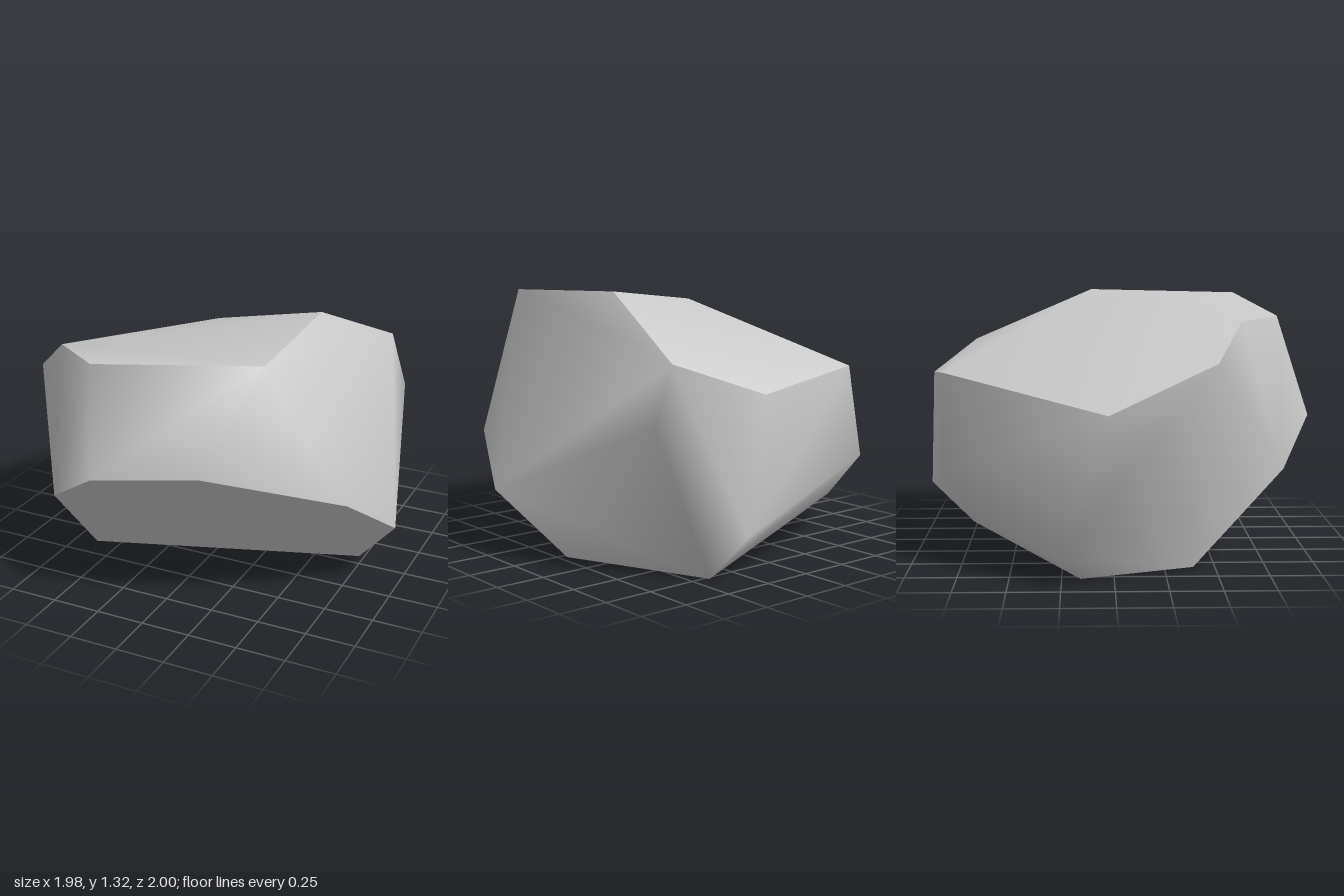
import * as THREE from 'three';
import { ConvexGeometry } from 'three/addons/geometries/ConvexGeometry.js';
import { mergeVertices } from 'three/addons/utils/BufferGeometryUtils.js';

// Corners of the boulder, ring by ring
const TOP_RIM = [
  [-0.99, 0.81, -0.03], [-0.46, 0.95, -0.83], [0.24, 0.88, -0.96], [0.63, 1.03, -0.76], [0.46, 1.32, -0.1],
  [0.5, 1.3, 0.7], [-0.34, 1.22, 0.82], [-0.63, 1.21, 0.61], [-0.84, 1.03, 0.48],
];
const MIDDLE = [
  [-0.94, 0.13, -0.26], [-0.57, 0.48, -0.82], [0.38, 0.24, -1], [0.72, 0.75, -0.75],
  [0.99, 0.35, 0.18], [0.85, 0.59, 0.51], [0.27, 0.78, 0.91], [-0.26, 0.71, 1], [-0.58, 0.49, 0.83],
];
const BASE = [[-0.62, 0.01, 0.39], [0.73, 0.01, -0.06], [0.41, 0, -0.77], [-0.82, 0.01, -0.16]];

// Direction of the undercut at the front
const CUT = new THREE.Vector3(0.22, -0.71, 0.67).normalize();

function partOf(normal) {
  if (normal.y > 0.75) return 'topFace';
  if (normal.y < -0.92) return 'baseFace';
  if (normal.dot(CUT) > 0.95) return 'frontUndercut';
  return 'sideWalls';
}

export function createModel() {
  const group = new THREE.Group();
  group.name = 'boulder';
  const stone = new THREE.MeshStandardMaterial({ color: 0xcccccc });
  stone.name = 'pale grey stone';

  // Sort the hull's triangles into the cut faces and the rounded walls
  const points = [...TOP_RIM, ...MIDDLE, ...BASE].map((p) => new THREE.Vector3(...p));
  const hull = new ConvexGeometry(points).getAttribute('position');
  const parts = { topFace: [], baseFace: [], frontUndercut: [], sideWalls: [] };
  const tri = new THREE.Triangle();
  const normal = new THREE.Vector3();
  for (let i = 0; i < hull.count; i += 3) {
    tri.setFromAttributeAndIndices(hull, i, i + 1, i + 2);
    tri.getNormal(normal);
    for (const v of [tri.a, tri.b, tri.c]) parts[partOf(normal)].push(v.x, v.y, v.z);
  }

  // Each part is smooth within itself, with sharp edges between parts
  for (const [name, coords] of Object.entries(parts)) {
    const soup = new THREE.BufferGeometry();
    soup.setAttribute('position', new THREE.Float32BufferAttribute(coords, 3));
    const geometry = mergeVertices(soup);
    geometry.computeVertexNormals();
    const mesh = new THREE.Mesh(geometry, stone);
    mesh.name = name;
    group.add(mesh);
  }
  return group;
}
